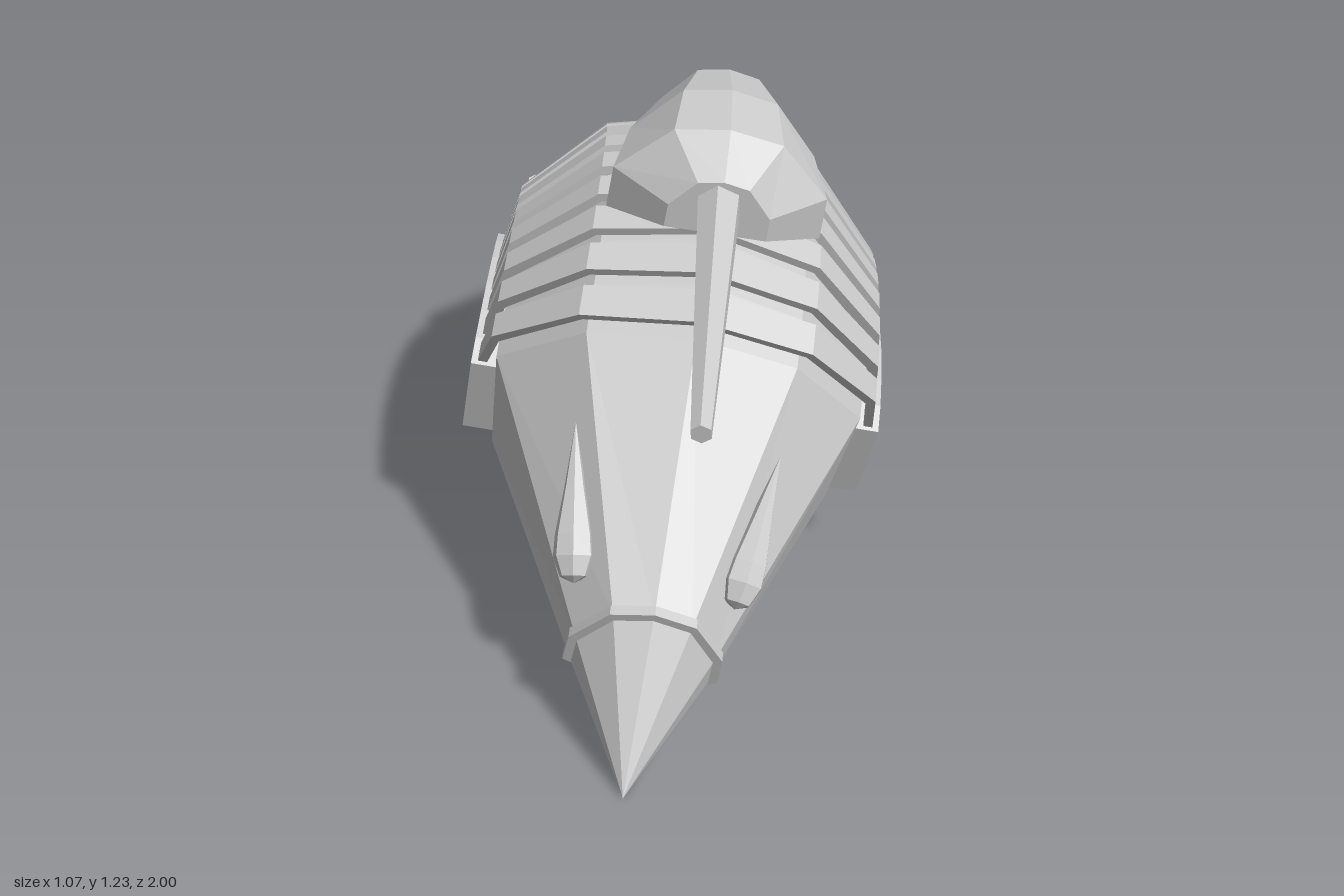
import * as THREE from 'three';

const mat = new THREE.MeshStandardMaterial({ color: 0xcccccc, flatShading: true });
const V = (x, y, z) => new THREE.Vector3(x, y, z);

function add(parent, name, geometry) {
  const mesh = new THREE.Mesh(geometry, mat);
  mesh.name = name;
  parent.add(mesh);
  return mesh;
}

// Skin between closed rings of [x, y, z] points, with flat caps on both ends
function loft(rings) {
  const out = [];
  const tri = (a, b, c) => out.push(...a, ...b, ...c);
  const n = rings[0].length;
  for (let i = 0; i < rings.length - 1; i++) {
    for (let j = 0; j < n; j++) {
      const k = (j + 1) % n;
      tri(rings[i][j], rings[i + 1][j], rings[i + 1][k]);
      tri(rings[i][j], rings[i + 1][k], rings[i][k]);
    }
  }
  const last = rings[rings.length - 1];
  for (let j = 1; j < n - 1; j++) {
    tri(rings[0][0], rings[0][j], rings[0][j + 1]);
    tri(last[0], last[j + 1], last[j]);
  }
  const g = new THREE.BufferGeometry();
  g.setAttribute('position', new THREE.Float32BufferAttribute(out, 3));
  g.computeVertexNormals();
  return g;
}

// Mirror a half outline (right base up to the apex) into a whole one
const whole = (half) => [...half, ...half.slice(0, -1).reverse().map(([x, ...r]) => [-x, ...r])];

// Group with its own tilted axes
function tilted(name, origin, xAxis, zAxis) {
  const z = zAxis.clone().normalize();
  const y = z.clone().cross(xAxis).normalize();
  const x = y.clone().cross(z);
  const g = new THREE.Group();
  g.name = name;
  g.quaternion.setFromRotationMatrix(new THREE.Matrix4().makeBasis(x, y, z));
  g.position.copy(origin);
  return g;
}

// The shell and its bands all swing around one sideways axis
const PIVOT_Y = -0.31, PIVOT_Z = -0.1, BASE = -0.02;
const deg = Math.PI / 180;
const swing = (x, r, a) => [x, PIVOT_Y + r * Math.cos(a), PIVOT_Z + r * Math.sin(a)];

function buildShell(body) {
  const profile = [[0.45, 0.63], [0.25, 0.86], [0, 0.93]]; // x, radius
  const start = 17.5 * deg, steps = 10, rings = [];
  for (let i = 0; i <= steps; i++) {
    const t = i / steps;
    const half = profile.map(([x, r]) => {
      const end = -Math.acos((BASE - PIVOT_Y) / r);
      return swing(x, r, start + (end - start) * t);
    });
    half.unshift([0.43, BASE, 0.1 - 0.66 * t]);
    rings.push(whole(half));
  }
  add(body, 'shell', loft(rings));
  return rings[0];
}

function buildNose(body, seam) {
  const half = [[0.165, 0.065, 0.75], [0.162, 0.152, 0.75], [0.09, 0.26, 0.75], [0, 0.284, 0.75]];
  const front = whole(half);
  add(body, 'snout', loft([front, seam]));
  add(body, 'noseTip', loft([front.map(() => [0, 0, 1.0525]), front]));
  // Thin collar around the tip
  const collar = front.map(([x, y]) => {
    const X = x * 1.09, Y = 0.06 + (y - 0.06) * 1.06;
    return [[X, Y, 0.76], [x * 0.95, y - 0.01, 0.76], [x * 0.95, y - 0.01, 0.735], [X, Y, 0.735]];
  });
  add(body, 'noseCollar', loft(collar));
}

function buildBands(body) {
  const arch = whole([[0.505, 0.5], [0.468, 0.715], [0.275, 0.915], [0, 0.985]]);
  const count = 9, w = 2.5 * deg;
  for (let i = 0; i < count; i++) {
    const a = (14 - (62 * i) / (count - 1)) * deg;
    add(body, 'armourBand', loft(arch.map(([x, r]) => [
      swing(x, r, a + w), swing(x * 0.96, r - 0.02, a + w),
      swing(x * 0.96, r - 0.02, a - w), swing(x, r, a - w),
    ])));
  }
  // Skirt around the tail
  const plan = whole([[0.49, -0.56], [0.468, -0.78], [0.275, -0.955], [0, -1.05]]);
  add(body, 'tailSkirt', loft(plan.map(([x, z]) => [
    [x * 0.98, 0.065, z + 0.01], [x * 0.94, 0.065, z + 0.03],
    [x * 0.94, -0.01, z + 0.03], [x, -0.01, z],
  ])));
}

function buildSidePlates(body) {
  const outline = [
    [0.067, -0.022], [0.069, 0.226], [0, 0.245], [-0.086, 0.25], [-0.19, 0.242],
    [-0.306, 0.215], [-0.4, 0.175], [-0.469, 0.135], [-0.546, 0.05], [-0.578, -0.022],
  ].map(([z, y]) => new THREE.Vector2(z, y));
  for (const [name, x] of [['leftSidePlate', 0.51], ['rightSidePlate', -0.42]]) {
    const g = new THREE.ExtrudeGeometry(new THREE.Shape(outline), { depth: 0.09, bevelEnabled: false });
    g.rotateY(-Math.PI / 2).translate(x, 0, 0);
    add(body, name, g);
  }
}

function buildEyes(body) {
  const drop = [[0, 0], [0.033, 0.015], [0.05, 0.06], [0.046, 0.11], [0.025, 0.22], [0, 0.37]]
    .map(([r, y]) => new THREE.Vector2(r, y));
  for (const s of [1, -1]) {
    const bulb = V(0.185 * s, 0.225, 0.66), tail = V(0.24 * s, 0.408, 0.345);
    const eye = add(body, s > 0 ? 'leftEye' : 'rightEye', new THREE.LatheGeometry(drop, 7));
    eye.position.copy(bulb);
    eye.quaternion.setFromUnitVectors(V(0, 1, 0), tail.sub(bulb).normalize());
  }
}

function buildTurret(model) {
  const turret = tilted('turret', V(0.095, 0.965, 0.07), V(0.987, -0.155, 0), V(-0.02, -0.1, 0.994));
  // z, half width, height, base height
  const sections = [
    [0.12, 0.12, 0.14, 0.045], [0, 0.257, 0.255, 0], [-0.19, 0.228, 0.255, 0],
    [-0.42, 0.155, 0.185, 0], [-0.585, 0.105, 0.06, 0],
  ];
  add(turret, 'turretHull', loft(sections.map(([z, w, h, y]) =>
    whole([[w, y, z], [w * 0.99, y + h * 0.43, z], [w * 0.5, y + h * 0.92, z], [0, y + h, z]]))));
  model.add(turret);

  // Tapered six-sided gun barrel
  const from = V(0.11, 1.08, 0.16), to = V(0.077, 0.952, 0.98);
  const dir = to.clone().sub(from);
  const barrel = add(model, 'barrel', new THREE.CylinderGeometry(0.024, 0.056, dir.length(), 6));
  barrel.position.copy(from).addScaledVector(dir, 0.5);
  barrel.quaternion.setFromUnitVectors(V(0, 1, 0), dir.normalize());
}

export function createModel() {
  const model = new THREE.Group();
  model.name = 'armouredVehicle';
  const body = tilted('body', V(-0.025, 0.3225, 0), V(0.984, -0.178, 0.007), V(-0.062, -0.306, 0.95));
  model.add(body);
  buildNose(body, buildShell(body));
  buildBands(body);
  buildSidePlates(body);
  buildEyes(body);
  buildTurret(model);
  return model;
}
